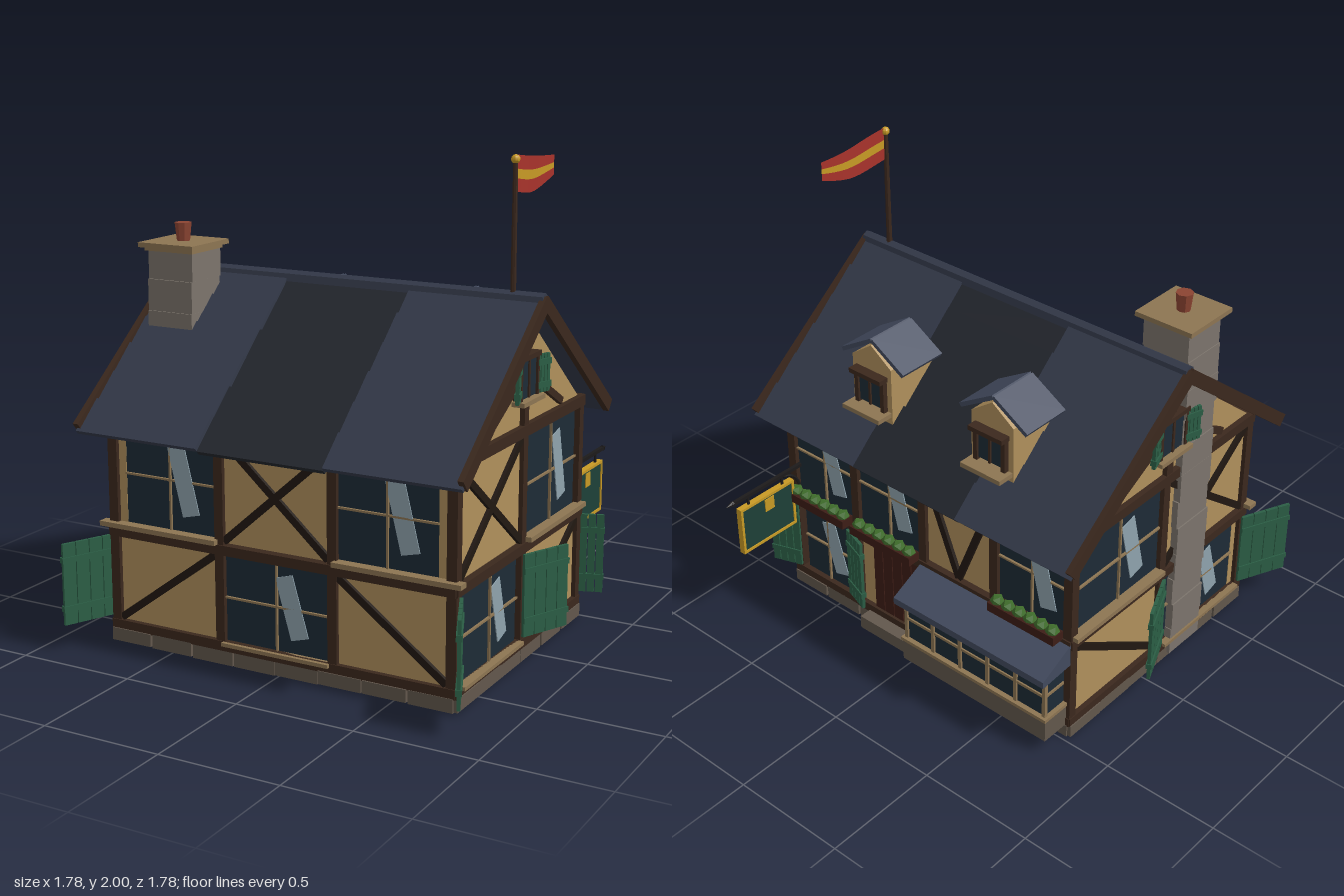
import * as THREE from 'three';

const C = {
  plaster: 0xb0905c, beam: 0x3b281d, brace: 0x211812, ledge: 0x8d7552, stone: 0x62574c, chimney: 0x7c746c,
  glass: 0x1d2b36, glint: 0x8fa3ad, green: 0x2b5e45, slate: 0x333949, slateDark: 0x23262d, slateLight: 0x424a5e,
  gold: 0xc79a25, red: 0xa8332b, clay: 0x8c4432, iron: 0x1c1a1a, leaf: 0x3f6d2b, door: 0x3d1d16, board: 0x1d4038,
};
const mats = {};
const mat = (c) => (mats[c] ??= new THREE.MeshStandardMaterial({ color: C[c], flatShading: true, side: THREE.DoubleSide }));

function add(parent, name, geo, color, x = 0, y = 0, z = 0) {
  const m = new THREE.Mesh(geo, mat(color));
  m.name = name;
  m.position.set(x, y, z);
  parent.add(m);
  return m;
}
function group(parent, name, x = 0, y = 0, z = 0, ry = 0) {
  const g = new THREE.Group();
  g.name = name;
  g.position.set(x, y, z);
  g.rotation.y = ry;
  parent.add(g);
  return g;
}
// box given by its extents
const span = (p, name, color, x0, x1, y0, y1, z0, z1) =>
  add(p, name, new THREE.BoxGeometry(Math.abs(x1 - x0), y1 - y0, Math.abs(z1 - z0)), color, (x0 + x1) / 2, (y0 + y1) / 2, (z0 + z1) / 2);
// straight timber between two points of a wall plane
function timber(p, name, color, a, b, w, d, z) {
  const dx = b[0] - a[0], dy = b[1] - a[1];
  const m = add(p, name, new THREE.BoxGeometry(Math.hypot(dx, dy), w, d), color, (a[0] + b[0]) / 2, (a[1] + b[1]) / 2, z);
  m.rotation.z = Math.atan2(dy, dx);
  return m;
}
const prism = (pts, depth) =>
  new THREE.ExtrudeGeometry(new THREE.Shape(pts.map(([x, y]) => new THREE.Vector2(x, y))), { depth, bevelEnabled: false });

// glazed opening with bars and a slanted glint
function windowPane(p, a, b, y0, y1) {
  const u0 = Math.min(a, b), u1 = Math.max(a, b), cx = (u0 + u1) / 2, cy = (y0 + y1) / 2, h = y1 - y0;
  const g = group(p, 'window');
  span(g, 'glass', 'glass', u0, u1, y0, y1, -0.035, -0.02);
  span(g, 'verticalBar', 'ledge', cx - 0.004, cx + 0.004, y0, y1, -0.02, -0.01);
  span(g, 'horizontalBar', 'ledge', u0, u1, cy - 0.004, cy + 0.004, -0.02, -0.01);
  const gx = cx + (u1 - u0) * 0.15;
  timber(g, 'glint', 'glint', [gx - 0.035, cy + h * 0.36], [gx + 0.035, cy - h * 0.32], 0.08, 0.004, -0.012);
}
// plaster field with diagonal braces: '/', '\\', 'X' or 'V'
function field(p, a, b, y0, y1, braces = '') {
  const u0 = Math.min(a, b), u1 = Math.max(a, b), c = (u0 + u1) / 2;
  span(p, 'plaster', 'plaster', u0, u1, y0, y1, -0.035, -0.018);
  const brace = (q, r) => timber(p, 'brace', 'brace', q, r, 0.03, 0.02, -0.013);
  if (braces === '/' || braces === 'X') brace([u0, y0 + 0.01], [u1, y1 - 0.01]);
  if (braces === '\\' || braces === 'X') brace([u0, y1 - 0.01], [u1, y0 + 0.01]);
  if (braces === 'V') { brace([u0, y1], [c, y0]); brace([u1, y1], [c, y0]); }
}
// planked shutter swung out from its hinge, s = side it opens to
function shutter(p, u, s, w, y0, y1, angle = 0.42) {
  const g = group(p, 'shutter', u, 0, 0.005, -s * angle);
  const n = 4;
  for (let i = 0; i < n; i++) span(g, 'plank', 'green', s * w * i / n, s * (w * (i + 1) / n - 0.004), y0, y1, -0.007, 0.007);
  for (const f of [0.2, 0.8]) {
    const y = y0 + (y1 - y0) * f;
    span(g, 'batten', 'green', 0, s * w, y - 0.012, y + 0.012, -0.012, 0.012);
  }
}
// posts, rails and footing stones shared by every wall
function frame(p, u0, u1, posts) {
  for (const u of posts) span(p, 'post', 'beam', u - 0.02, u + 0.02, 0.06, 0.95, -0.04, 0);
  span(p, 'sillBeam', 'beam', u0, u1, 0.06, 0.1, -0.04, 0.004);
  span(p, 'floorBeam', 'beam', u0, u1, 0.455, 0.495, -0.04, 0.006);
  span(p, 'topBeam', 'beam', u0, u1, 0.925, 0.97, -0.04, 0.006);
  const n = Math.round((u1 - u0) / 0.2), w = (u1 - u0) / n;
  for (let i = 0; i < n; i++) {
    const k = 0.006 * Math.sin(i * 5.3 + 1);
    span(p, 'footingStone', 'stone', u0 + i * w, u0 + (i + 1) * w - 0.006, 0.006 + k, 0.064, -0.09, 0.004 + k);
  }
}

function frontWall(house) {
  const p = group(house, 'frontWall', 0, 0, 0.7);
  frame(p, -0.785, 0.76, [-0.765, -0.265, 0.24, 0.74]);
  field(p, -0.745, -0.285, 0.1, 0.46, '/');
  windowPane(p, -0.245, 0.22, 0.1, 0.46);
  field(p, 0.26, 0.72, 0.1, 0.46, '\\');
  field(p, -0.745, -0.71, 0.5, 0.95);
  windowPane(p, -0.71, -0.285, 0.51, 0.93);
  field(p, -0.245, 0.22, 0.5, 0.93, 'X');
  windowPane(p, 0.26, 0.68, 0.51, 0.93);
  field(p, 0.68, 0.72, 0.5, 0.95);
  for (const [a, b] of [[-0.82, -0.27], [0.25, 0.79]]) span(p, 'windowLedge', 'ledge', a, b, 0.495, 0.515, -0.02, 0.025);
  span(p, 'windowLedge', 'ledge', -0.25, 0.23, 0.085, 0.1, -0.02, 0.02);
}

// end walls: m = 1 for +x, -1 for -x; positions are given along z
function endWall(house, m) {
  const p = group(house, m > 0 ? 'leftEndWall' : 'rightEndWall', m > 0 ? 0.762 : -0.787, 0, 0, m * Math.PI / 2);
  const U = (z) => -z * m;
  frame(p, Math.min(U(0.7), U(-0.48)), Math.max(U(0.7), U(-0.48)), [U(0.68), U(0.105), U(-0.46)]);
  windowPane(p, U(0.63), U(0.135), 0.1, 0.455);
  field(p, U(0.66), U(0.63), 0.1, 0.455);
  field(p, U(0.085), U(-0.44), 0.1, 0.455, m > 0 ? '/' : '\\');
  field(p, U(0.66), U(0.125), 0.5, 0.93, 'X');
  windowPane(p, U(0.085), U(-0.43), 0.51, 0.925);
  span(p, 'windowLedge', 'ledge', U(0.09), U(-0.47), 0.495, 0.515, -0.02, 0.025);
  span(p, 'windowLedge', 'ledge', U(0.66), U(0.13), 0.085, 0.1, -0.02, 0.02);
  shutter(p, U(0.67), -m, 0.24, 0.11, 0.45);
  shutter(p, U(0.115), m, 0.235, 0.11, 0.45);
  // gable
  const g = group(p, 'gable');
  add(g, 'gablePlaster', prism([[U(0.67), 0.97], [U(-0.45), 0.97], [U(0.11), 1.42]], 0.017), 'plaster', 0, 0, -0.035);
  timber(g, 'kingPost', 'beam', [U(0.11), 0.97], [U(0.11), 1.4], 0.04, 0.03, -0.012);
  for (const s of [-1, 1]) {
    timber(g, 'gableStrut', 'beam', [U(0.11 + s * 0.36), 0.99], [U(0.11 + s * 0.08), 1.14], 0.03, 0.025, -0.012);
    timber(g, 'bargeBoard', 'beam', [U(0.11 + s * 0.69), 0.91], [U(0.11 - s * 0.01), 1.455], 0.055, 0.025, 0.065);
    shutter(g, U(0.11 + s * 0.08), -s * m, 0.075, 1.08, 1.23, 0.3);
    span(g, 'windowJamb', 'beam', U(0.11 + s * 0.07), U(0.11 + s * 0.085), 1.075, 1.24, -0.02, 0.015);
  }
  span(g, 'gableGlass', 'glass', U(0.18), U(0.04), 1.08, 1.23, -0.01, 0.006);
  span(g, 'gableBar', 'beam', U(0.116), U(0.104), 1.08, 1.23, 0.004, 0.012);
  span(g, 'gableLintel', 'beam', U(0.2), U(0.02), 1.23, 1.25, -0.02, 0.02);
  span(g, 'gableSill', 'ledge', U(0.21), U(0.01), 1.06, 1.078, -0.02, 0.035);
}

function backWall(house) {
  const p = group(house, 'backWall', 0, 0, -0.48, Math.PI);
  const U = (x) => -x;
  frame(p, U(0.76), U(-0.785), [0.74, 0.37, -0.01, -0.39, -0.765].map(U));
  for (const [a, b] of [[0.72, 0.39], [0.35, 0.01], [-0.41, -0.745]]) {
    windowPane(p, U(a), U(b), 0.51, 0.93);
    const f = group(p, 'flowerBox');
    span(f, 'trough', 'door', U(a), U(b), 0.49, 0.53, 0, 0.06);
    for (let i = 0; i < 6; i++)
      add(f, 'leaves', new THREE.IcosahedronGeometry(0.03, 0), 'leaf', U(a) + (a - b) * (i + 0.5) / 6, 0.535, 0.03);
  }
  field(p, U(-0.03), U(-0.37), 0.5, 0.93, 'V');
  windowPane(p, U(0.7), U(0.42), 0.1, 0.455);
  shutter(p, U(0.72), -1, 0.14, 0.11, 0.45, 0.33);
  shutter(p, U(0.42), 1, 0.13, 0.11, 0.45, 0.33);
  // plank door
  field(p, U(0.35), U(0.28), 0.1, 0.455);
  for (let i = 0; i < 5; i++) span(p, 'doorPlank', 'door', U(0.28 - i * 0.054), U(0.23 - i * 0.054), 0.07, 0.45, -0.03, -0.008);
  span(p, 'doorStep', 'stone', U(0.31), U(0), 0.01, 0.07, 0, 0.06);
  // bay window
  const b = group(p, 'bayWindow');
  span(b, 'bayBase', 'stone', U(-0.01), U(-0.77), 0.065, 0.165, 0, 0.13);
  span(b, 'baySill', 'ledge', U(-0.005), U(-0.775), 0.165, 0.18, 0, 0.137);
  span(b, 'bayGlass', 'glass', U(-0.025), U(-0.755), 0.18, 0.38, 0, 0.115);
  for (let i = 0; i <= 5; i++) {
    const u = 0.025 + i * 0.146;
    span(b, 'bayBar', 'ledge', u - 0.008, u + 0.008, 0.18, 0.38, 0.108, 0.124);
  }
  span(b, 'bayCrossBar', 'ledge', 0.019, 0.761, 0.274, 0.286, 0.005, 0.122);
  const roof = add(b, 'bayRoof', prism([[0, 0.48], [0.165, 0.4], [0.165, 0.37], [0, 0.38]], 0.785), 'slateLight', 0.785);
  roof.rotation.y = -Math.PI / 2;
}

function roof(house) {
  const r = group(house, 'roof');
  for (const s of [1, -1]) {
    const turn = group(r, s > 0 ? 'frontSlope' : 'backSlope', 0, 1.455, 0.11, s > 0 ? 0 : Math.PI);
    const slope = group(turn, 'slates');
    slope.rotation.x = 0.682;
    const rows = 6, len = 0.885, step = len / rows;
    [[-0.855, -0.29, 0.006, 'slate'], [-0.29, 0.265, -0.006, 'slateDark'], [0.265, 0.83, 0.006, 'slate']].forEach(([a, b, lift, col], k) => {
      for (let i = 0; i < rows; i++) {
        const c = span(slope, 'slateCourse', col, s * a, s * b, -0.01, 0.01, 0, step + 0.015);
        c.position.set(s * (a + b) / 2, lift + 0.003 * Math.sin(i * 3 + k * 2), (i + 0.5) * step);
        c.rotation.x = 0.05;
      }
    });
  }
  const cap = add(r, 'ridgeCap', prism([[-0.03, 1.445], [0.03, 1.445], [0.022, 1.475], [0, 1.488], [-0.022, 1.475]], 1.68), 'slate', 0.83, 0, 0.11);
  cap.rotation.y = -Math.PI / 2;
  // dormers
  for (const x of [-0.332, 0.3]) {
    const d = group(r, 'dormer', x, 0, -0.415);
    add(d, 'dormerBody', prism([[-0.105, 1.02], [0.105, 1.02], [0.105, 1.29], [0, 1.365], [-0.105, 1.29]], 0.245), 'plaster');
    for (const s of [1, -1]) timber(d, 'dormerRoof', 'slateLight', [s * 0.165, 1.285], [0, 1.385], 0.018, 0.225, 0.115);
    span(d, 'dormerGlass', 'glass', -0.06, 0.06, 1.1, 1.23, -0.012, 0.01);
    for (const s of [1, -1]) span(d, 'dormerJamb', 'beam', s * 0.06, s * 0.08, 1.09, 1.24, -0.022, 0.01);
    span(d, 'dormerBar', 'beam', -0.005, 0.005, 1.1, 1.23, -0.02, 0);
    span(d, 'dormerLintel', 'beam', -0.085, 0.085, 1.23, 1.25, -0.045, 0.01);
    span(d, 'dormerSill', 'ledge', -0.1, 0.1, 1.07, 1.09, -0.075, 0.01);
  }
}

function chimney(house) {
  const g = group(house, 'chimney', -0.692, 0, 0.277);
  for (let i = 0; i < 12; i++) {
    const k = 0.003 * Math.sin(i * 4.1), y = 0.02 + i * 0.13;
    span(g, 'chimneyCourse', 'chimney', -0.107 + k, 0.105 + k, y, Math.min(y + 0.129, 1.58), -0.102 - k, 0.102 - k);
  }
  span(g, 'chimneyCollar', 'ledge', -0.115, 0.115, 1.565, 1.58, -0.11, 0.11);
  span(g, 'chimneyCap', 'ledge', -0.132, 0.132, 1.58, 1.6, -0.132, 0.132);
  add(g, 'chimneyPot', new THREE.CylinderGeometry(0.035, 0.027, 0.075, 8), 'clay', 0, 1.637, 0);
}

function flag(house) {
  const g = group(house, 'flag', 0.697, 0, 0.11);
  add(g, 'flagPole', new THREE.CylinderGeometry(0.01, 0.012, 0.54, 8), 'beam', 0, 1.71, 0);
  add(g, 'poleKnob', new THREE.SphereGeometry(0.018, 10, 8), 'gold', 0, 1.982, 0);
  for (const [v0, v1, col] of [[0, 0.36, 'red'], [0.36, 0.62, 'gold'], [0.62, 1, 'red']]) {
    const geo = new THREE.PlaneGeometry(1, 1, 10, 1), pos = geo.attributes.position;
    for (let i = 0; i < pos.count; i++) {
      const t = pos.getX(i) + 0.5, v = pos.getY(i) > 0 ? v1 : v0;
      const top = 1.998 - 0.05 * t + 0.02 * t * t, bottom = 1.86 - 0.03 * Math.sin(Math.PI * t) + 0.03 * t;
      pos.setXYZ(i, 0.004 * Math.sin(t * 7), bottom + (top - bottom) * v, -0.01 - t * 0.35);
    }
    geo.computeVertexNormals();
    add(g, 'flagStripe', geo, col);
  }
}

function hangingSign(house) {
  const g = group(house, 'hangingSign', 0.705);
  span(g, 'signArm', 'iron', -0.008, 0.008, 0.637, 0.652, -0.47, -0.86);
  add(g, 'armTip', new THREE.ConeGeometry(0.013, 0.04, 6), 'iron', 0, 0.644, -0.87).rotation.x = -Math.PI / 2;
  const curve = new THREE.QuadraticBezierCurve3(new THREE.Vector3(0, 0.54, -0.48), new THREE.Vector3(0, 0.63, -0.5), new THREE.Vector3(0, 0.64, -0.6));
  add(g, 'armBracket', new THREE.TubeGeometry(curve, 10, 0.007, 6), 'iron');
  for (const z of [-0.58, -0.77]) span(g, 'signHook', 'iron', -0.004, 0.004, 0.59, 0.64, z - 0.005, z + 0.005);
  span(g, 'signBoard', 'board', -0.009, 0.009, 0.38, 0.595, -0.53, -0.82);
  for (const y of [0.375, 0.588]) span(g, 'signRail', 'gold', -0.014, 0.014, y, y + 0.012, -0.525, -0.825);
  for (const z of [-0.525, -0.813]) span(g, 'signStile', 'gold', -0.014, 0.014, 0.375, 0.6, z, z - 0.012);
  span(g, 'signPlate', 'gold', -0.013, 0.013, 0.52, 0.58, -0.64, -0.69);
}

export function createModel() {
  const house = new THREE.Group();
  house.name = 'timberFramedHouse';
  frontWall(house);
  endWall(house, 1);
  endWall(house, -1);
  backWall(house);
  roof(house);
  chimney(house);
  flag(house);
  hangingSign(house);
  return house;
}
